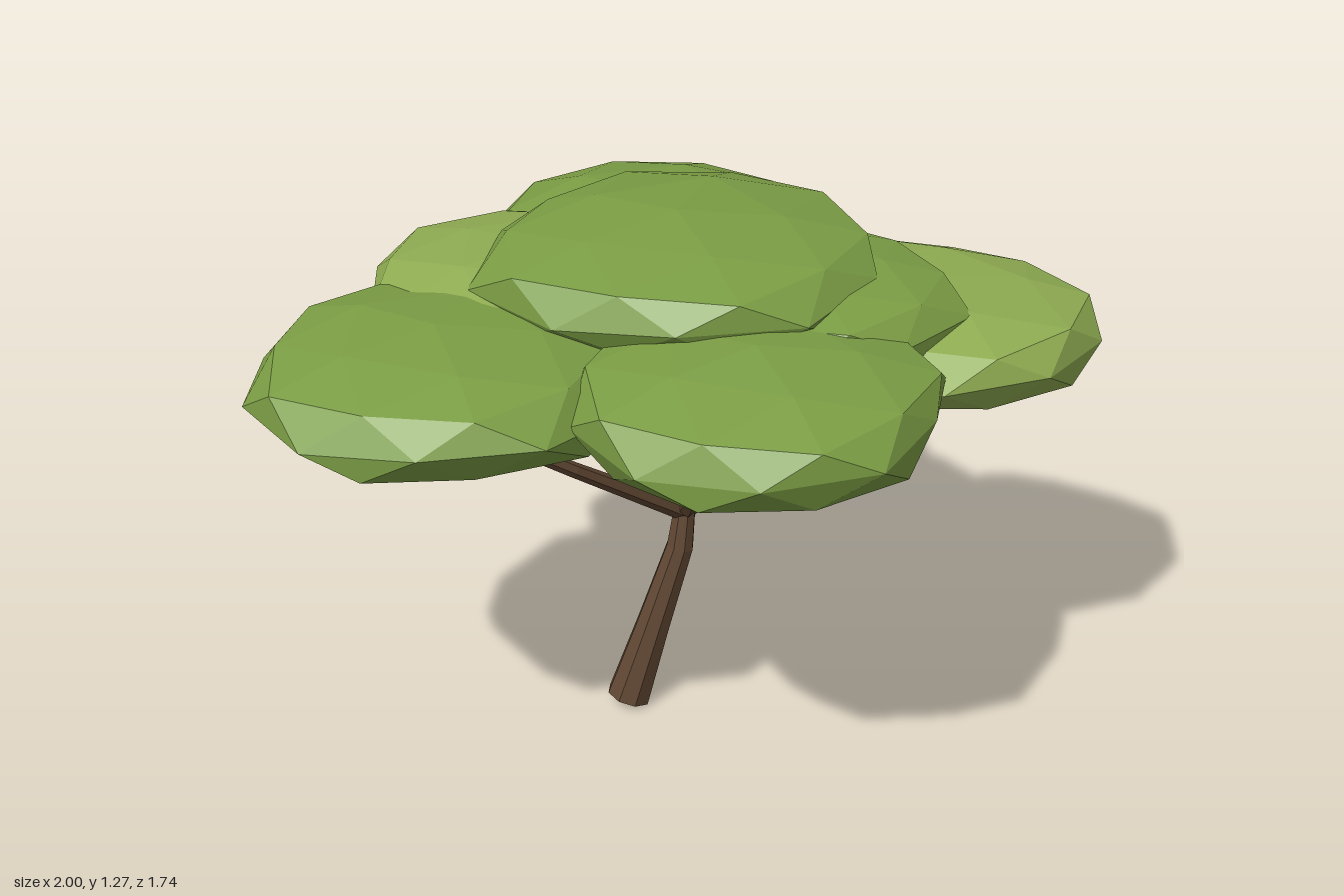
import * as THREE from 'three';
import { mergeVertices } from 'three/addons/utils/BufferGeometryUtils.js';

const material = (color) => new THREE.MeshStandardMaterial({ color, flatShading: true });
const bark = material(0x5f4632);
const leaf = material(0x7c9e45);
const lightLeaf = material(0x8fac52);
const UP = new THREE.Vector3(0, 1, 0);

function seeded(seed) {
  let s = seed * 7919 + 17;
  return () => (s = (s * 16807) % 2147483647) / 2147483647;
}

// Tapered, bent limb: a cylinder whose rings follow a row of [x, y, z, radius]
function limb(name, rows, sides) {
  const n = rows.length - 1;
  const points = rows.map((r) => new THREE.Vector3(r[0], r[1], r[2]));
  const turns = points.map((p, i) => {
    const tangent = points[Math.min(i + 1, n)].clone().sub(points[Math.max(i - 1, 0)]).normalize();
    return new THREE.Quaternion().setFromUnitVectors(UP, tangent);
  });
  const geometry = new THREE.CylinderGeometry(1, 1, 1, sides, n);
  const pos = geometry.attributes.position;
  const v = new THREE.Vector3();
  for (let i = 0; i < pos.count; i++) {
    v.fromBufferAttribute(pos, i);
    const k = Math.round((v.y + 0.5) * n);
    v.setY(0).multiplyScalar(rows[k][3]).applyQuaternion(turns[k]).add(points[k]);
    pos.setXYZ(i, v.x, v.y, v.z);
  }
  geometry.computeVertexNormals();
  const mesh = new THREE.Mesh(geometry, bark);
  mesh.name = name;
  return mesh;
}

// Faceted leaf clump: an icosphere standing on a corner, whose ten rim corners
// take the given radii (from +x round towards +z); yRange is its bottom and top
function clump(name, [cx, cz], yRange, radii, mat, seed) {
  const random = seeded(seed);
  let geometry = new THREE.IcosahedronGeometry(1, 1);
  geometry.deleteAttribute('normal');
  geometry.deleteAttribute('uv');
  geometry = mergeVertices(geometry, 1e-3);
  geometry.rotateZ(Math.atan(2 / (1 + Math.sqrt(5))));
  geometry.rotateY(Math.PI / 10);
  const pos = geometry.attributes.position;
  const middle = (yRange[0] + yRange[1]) / 2;
  const half = (yRange[1] - yRange[0]) / 2;
  for (let i = 0; i < pos.count; i++) {
    const [x, y, z] = [pos.getX(i), pos.getY(i), pos.getZ(i)];
    const turn = ((Math.atan2(z, x) / (2 * Math.PI) + 1) * 10) % 10;
    const k = Math.floor(turn);
    const radius = THREE.MathUtils.lerp(radii[k], radii[(k + 1) % 10], turn - k);
    const onRim = Math.abs(y) < 0.05;
    const spread = radius * (onRim ? 1 : 0.96 + 0.1 * random());
    const lift = onRim ? 0.3 * (random() - 0.5) : Math.sign(y) * Math.abs(y) ** 0.8 * (0.92 + 0.08 * random());
    pos.setXYZ(i, cx + x * spread, middle + half * lift, cz + z * spread);
  }
  geometry = geometry.toNonIndexed();
  geometry.computeVertexNormals();
  const mesh = new THREE.Mesh(geometry, mat);
  mesh.name = name;
  return mesh;
}

export function createModel() {
  const tree = new THREE.Group();
  tree.name = 'tree';

  // Leaning trunk
  tree.add(limb('trunk', [
    [-0.118, 0.018, -0.005, 0.055],
    [-0.055, 0.22, 0.002, 0.043],
    [0.012, 0.43, 0.006, 0.034],
    [0.026, 0.535, 0, 0.027],
  ], 8));

  // Four branches spreading from the fork
  const branches = [
    ['leftBranch', [0.355, 0.815, 0.04], [0.56, 0.93, 0.1]],
    ['rightBranch', [-0.27, 0.725, 0.09], [-0.62, 0.955, 0.14]],
    ['frontBranch', [0.03, 0.85, 0.27], [0.045, 0.96, 0.44]],
    ['backBranch', [0.055, 0.82, -0.3], [0.08, 0.96, -0.5]],
  ];
  for (const [name, middle, end] of branches) {
    tree.add(limb(name, [[0.025, 0.52, 0, 0.024], [...middle, 0.018], [...end, 0.014]], 6));
  }

  // Flat, overlapping leaf clumps: centre, height range, rim radii
  const clumps = [
    ['topClump', [0.02, -0.05], [1.03, 1.275], [0.46, 0.47, 0.48, 0.45, 0.45, 0.49, 0.43, 0.43, 0.48, 0.5], leaf],
    ['rightClump', [-0.58, 0.12], [0.89, 1.15], [0.4, 0.45, 0.44, 0.41, 0.42, 0.42, 0.42, 0.44, 0.44, 0.42], leaf],
    ['leftClump', [0.58, 0.1], [0.87, 1.115], [0.42, 0.41, 0.41, 0.42, 0.4, 0.38, 0.4, 0.41, 0.37, 0.32], lightLeaf],
    ['frontClump', [0.03, 0.46], [0.9, 1.16], [0.44, 0.39, 0.42, 0.41, 0.42, 0.41, 0.4, 0.4, 0.4, 0.41], leaf],
    ['backClump', [0.1, -0.47], [0.89, 1.165], [0.39, 0.4, 0.4, 0.4, 0.4, 0.4, 0.43, 0.43, 0.435, 0.45], leaf],
    ['backRightClump', [-0.27, -0.2], [0.93, 1.18], [0.38, 0.38, 0.38, 0.38, 0.37, 0.39, 0.41, 0.41, 0.4, 0.4], lightLeaf],
    ['frontLeftClump', [0.25, 0.08], [0.97, 1.195], [0.385, 0.42, 0.39, 0.37, 0.37, 0.37, 0.37, 0.37, 0.37, 0.37], leaf],
  ];
  const canopy = new THREE.Group();
  canopy.name = 'canopy';
  clumps.forEach((spec, i) => canopy.add(clump(...spec, i + 1)));
  tree.add(canopy);
  return tree;
}
